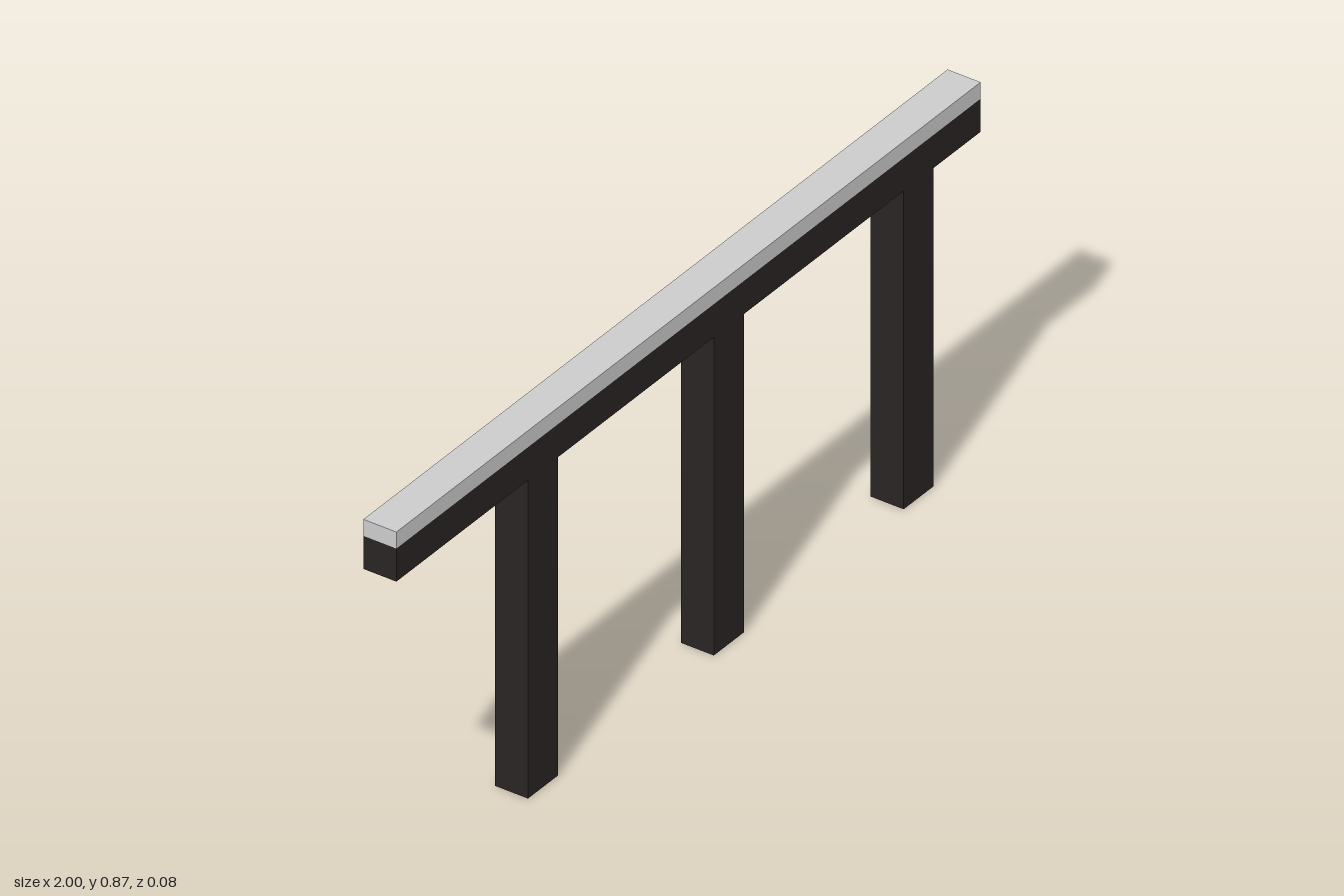
import * as THREE from 'three';

const DEPTH = 0.08;

export function createModel() {
  const model = new THREE.Group();
  model.name = 'railing';
  const dark = new THREE.MeshStandardMaterial({ color: 0x2a2424 });
  const grey = new THREE.MeshStandardMaterial({ color: 0xcccccc });

  // Box spanning bottom to top, centred on x
  function addBox(name, x, width, bottom, top, material) {
    const geometry = new THREE.BoxGeometry(width, top - bottom, DEPTH);
    const mesh = new THREE.Mesh(geometry, material);
    mesh.name = name;
    mesh.position.set(x, (bottom + top) / 2, 0);
    model.add(mesh);
  }

  // Pale cap strip on top of the dark rail
  addBox('railCap', 0, 2, 0.829, 0.868, grey);
  addBox('rail', 0, 2, 0.751, 0.829, dark);

  // Supporting posts, unevenly placed along the rail
  const posts = { rightPost: -0.498, middlePost: 0.138, leftPost: 0.788 };
  for (const [name, x] of Object.entries(posts)) {
    addBox(name, x, 0.103, 0, 0.751, dark);
  }

  return model;
}
